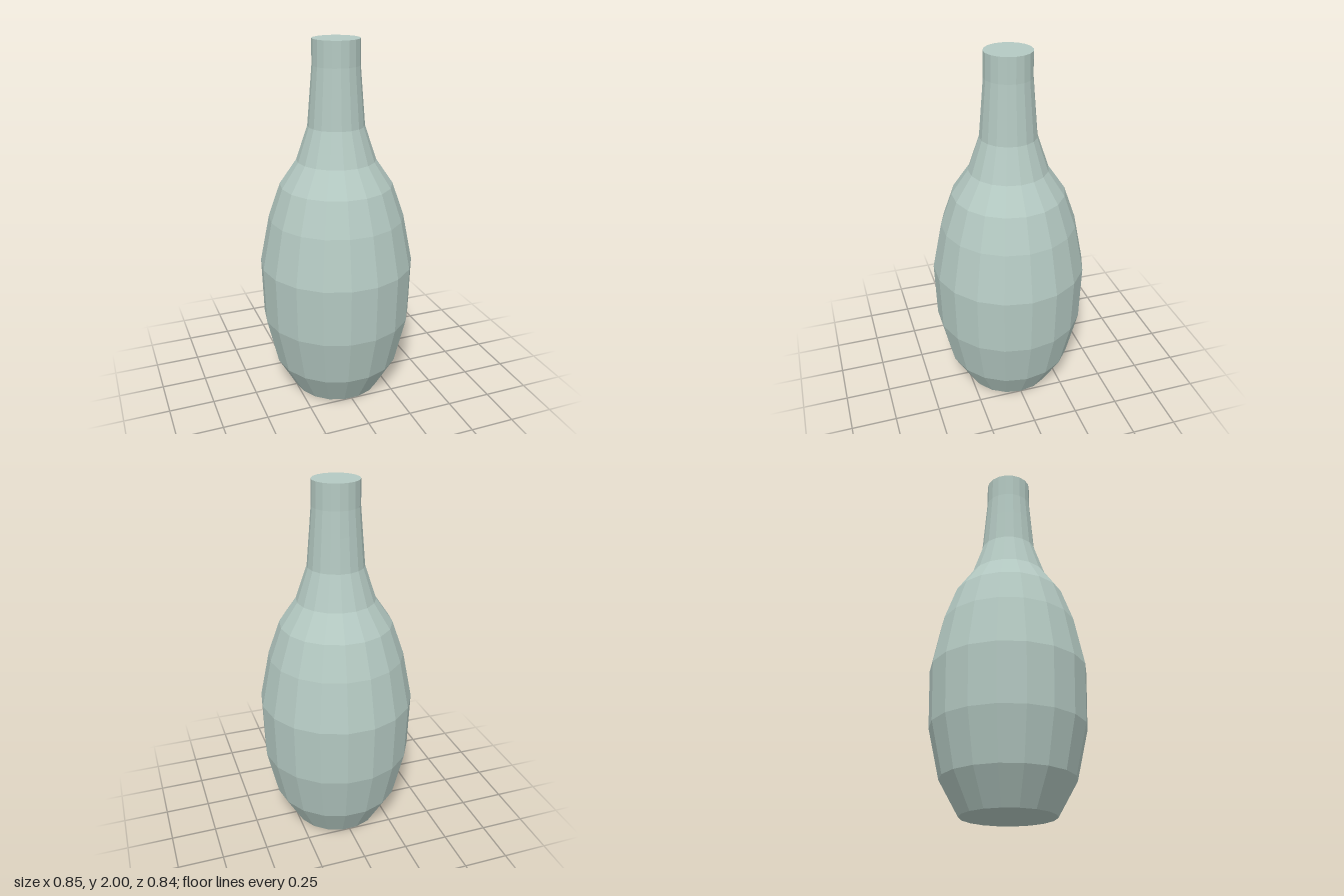
import * as THREE from 'three';

export function createModel() {
  const model = new THREE.Group();
  model.name = 'bottleVase';

  const paleSage = new THREE.MeshStandardMaterial({ color: 0xb4c9c2, flatShading: true });
  paleSage.name = 'paleSage';

  const sides = 18;
  // Outline as [radius, height], from the foot to the lip
  const profile = [
    [0.25, 0], [0.355, 0.185], [0.417, 0.455], [0.426, 0.775], [0.372, 1.045],
    [0.307, 1.23], [0.215, 1.365], [0.153, 1.55], [0.138, 1.73], [0.127, 1.865], [0.126, 2],
  ];

  // Faceted body and neck, with a corner on the x axis
  const bodyGeometry = new THREE.LatheGeometry(
    profile.map(([r, y]) => new THREE.Vector2(r, y)), sides, Math.PI / 2);
  const body = new THREE.Mesh(bodyGeometry, paleSage);
  body.name = 'body';
  model.add(body);

  // Flat discs closing the foot and the lip
  function addCap(name, [radius, height], tilt) {
    const cap = new THREE.Mesh(new THREE.CircleGeometry(radius, sides), paleSage);
    cap.name = name;
    cap.rotation.x = tilt;
    cap.position.y = height;
    model.add(cap);
  }
  addCap('base', profile[0], Math.PI / 2);
  addCap('topCap', profile[profile.length - 1], -Math.PI / 2);

  return model;
}
